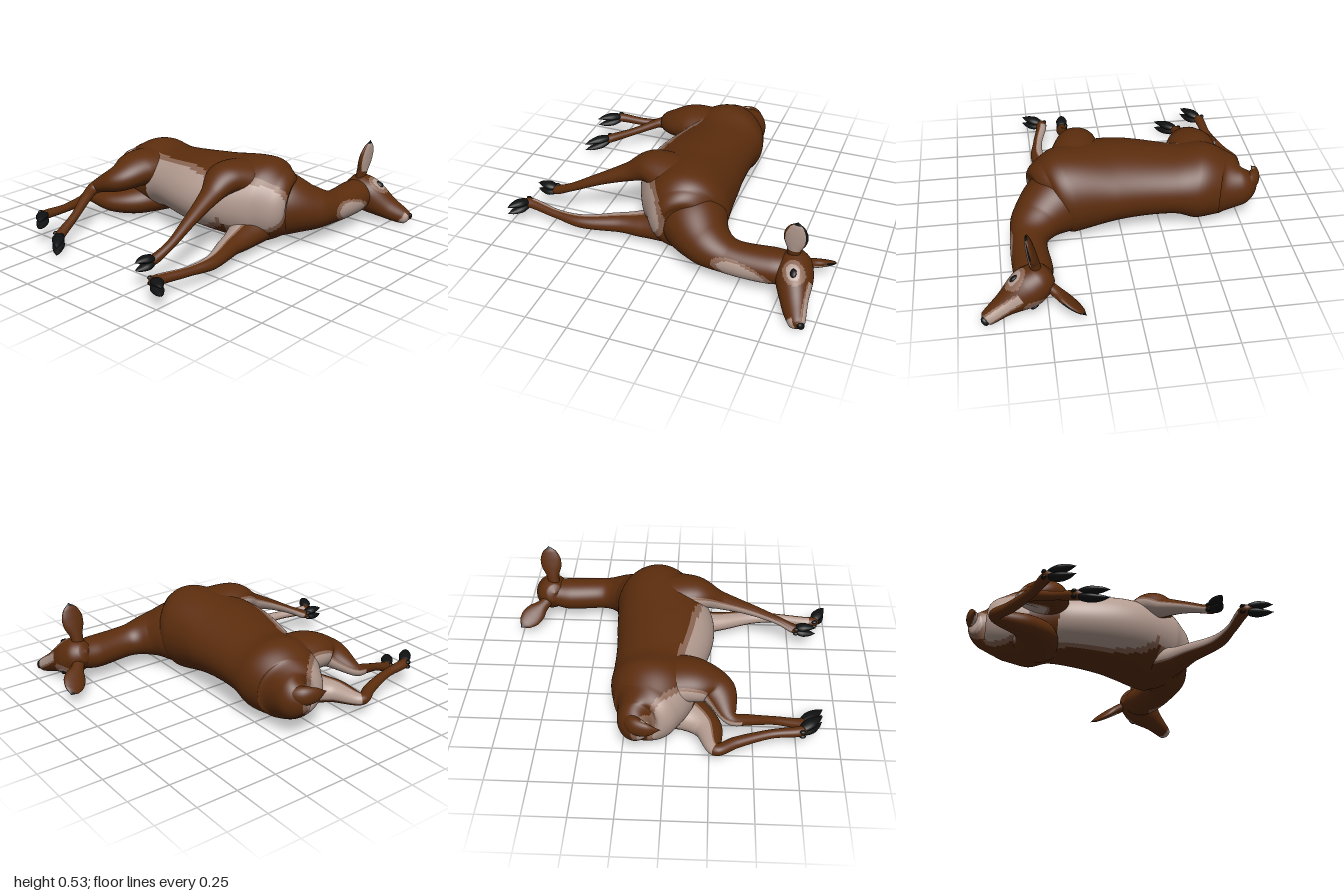
import * as THREE from 'three';

const V = (x, y, z) => new THREE.Vector3(x, y, z);
const mat = (name, color) => Object.assign(new THREE.MeshStandardMaterial({ color }), { name });

export function createModel() {
  const model = new THREE.Group();
  model.name = 'lyingDeer';

  const BROWN = 0, TAN = 1, PALE = 2, BLACK = 3;
  const mats = [
    mat('brown coat', 0x5c2d0d), mat('tan fringe', 0x8a6552),
    mat('pale fur', 0xb39b90), mat('black hoof', 0x0f1011),
  ];
  // pale patch with a tan fringe: d below 1 is inside
  const patch = (d, edge = 0.8) => (d < edge ? PALE : d < 1 ? TAN : BROWN);
  const oval = (u, v, ru, rv) => Math.hypot(u / ru, v / rv);

  // Smooth skin through rows of [x, y, z, radius along ref, radius across].
  // paint(point, t, c, s) picks a colour for each face; c is 1 on the ref side.
  function loft(name, rows, paint, { ref = V(0, 1, 0), segs = 56, sides = 36, parent = model } = {}) {
    const path = new THREE.CatmullRomCurve3(rows.map(r => V(r[0], r[1], r[2])));
    const size = new THREE.CatmullRomCurve3(rows.map(r => V(r[3], r[4], 0)), false, 'catmullrom', 0.4);
    const pos = [], faces = mats.map(() => []);
    for (let i = 0; i <= segs; i++) {
      const t = i / segs, p = path.getPoint(t), T = path.getTangent(t), r = size.getPoint(t);
      const B = ref.clone().addScaledVector(T, -ref.dot(T)).normalize();
      const N = T.clone().cross(B);
      for (let j = 0; j < sides; j++) {
        const a = (j / sides) * Math.PI * 2;
        const q = p.clone().addScaledVector(B, Math.cos(a) * Math.max(r.x, 0.001))
          .addScaledVector(N, Math.sin(a) * Math.max(r.y, 0.001));
        pos.push(q.x, q.y, q.z);
      }
    }
    const at = k => V(pos[k * 3], pos[k * 3 + 1], pos[k * 3 + 2]);
    for (let i = 0; i < segs; i++) {
      for (let j = 0; j < sides; j++) {
        const k = (j + 1) % sides, ang = ((j + 0.5) / sides) * Math.PI * 2;
        const a = i * sides + j, b = i * sides + k, c = b + sides, d = a + sides;
        const mid = at(a).add(at(c)).multiplyScalar(0.5);
        faces[paint(mid, (i + 0.5) / segs, Math.cos(ang), Math.sin(ang))].push(a, b, d, b, c, d);
      }
    }
    const g = new THREE.BufferGeometry();
    g.setAttribute('position', new THREE.Float32BufferAttribute(pos, 3));
    g.setIndex(faces.flat());
    g.computeVertexNormals();
    let start = 0;
    faces.forEach((f, m) => { if (f.length) g.addGroup(start, f.length, m); start += f.length; });
    const mesh = new THREE.Mesh(g, mats);
    mesh.name = name;
    parent.add(mesh);
  }

  // Small black ellipsoid for eyes, nose and dewclaws
  const ball = (name, parent, center, radii) => {
    const m = new THREE.Mesh(new THREE.SphereGeometry(1, 18, 12), mats[BLACK]);
    m.name = name;
    m.position.set(...center);
    m.scale.set(...radii);
    parent.add(m);
  };

  // Trunk, rump to chest, with pale belly, chest and rump
  loft('body', [
    [0.13, 0.27, -0.84, 0, 0], [0.14, 0.265, -0.82, 0.07, 0.055], [0.16, 0.255, -0.75, 0.13, 0.11],
    [0.115, 0.25, -0.65, 0.19, 0.197], [0.08, 0.265, -0.5, 0.23, 0.25], [0.065, 0.28, -0.33, 0.195, 0.255],
    [0.034, 0.29, 0.05, 0.23, 0.3], [0.1, 0.28, 0.34, 0.265, 0.26], [0.12, 0.265, 0.43, 0.23, 0.21],
    [0.15, 0.25, 0.5, 0.16, 0.14], [0.16, 0.25, 0.54, 0, 0],
  ], p => {
    if (p.z > 0.25) return patch(oval(p.x + 0.12, p.y - 0.3, 0.165, 0.175));
    if (p.z < -0.58) {
      const edge = -0.06 + (-0.62 - p.z) * 1.1;
      return patch(Math.max(1 + (p.x - edge) * 4, Math.abs(p.y - 0.26) / 0.17), 0.86);
    }
    if (p.z < -0.4) return BROWN;
    return patch(1 + (p.x + 0.137 + p.z * 0.22) * 3, 0.9);
  }, { segs: 150, sides: 100 });

  // Short curled tail
  loft('tail', [
    [0.21, 0.29, -0.72, 0.04, 0.05], [0.17, 0.29, -0.81, 0.058, 0.045],
    [0.1, 0.29, -0.848, 0.045, 0.026], [0.02, 0.29, -0.848, 0, 0],
  ], p => (p.x < 0.13 && p.z > -0.842 ? PALE : BROWN), { segs: 30, sides: 24 });

  // Neck with pale throat
  loft('neck', [
    [0.1, 0.265, 0.27, 0.23, 0.22], [0.19, 0.245, 0.42, 0.195, 0.195], [0.31, 0.213, 0.53, 0.135, 0.148],
    [0.45, 0.19, 0.575, 0.098, 0.108], [0.7, 0.185, 0.567, 0.098, 0.112], [0.82, 0.2, 0.555, 0.08, 0.09],
  ], p => (p.z > 0.57 ? patch(oval(p.x - 0.545, p.y - 0.165 + (p.x - 0.54) * 0.2, 0.18, 0.07)) : BROWN),
  { segs: 100, sides: 72 });

  // Leg through joints [x, y, z, radius], thick parts flattened sideways, with a
  // cloven hoof running from the last joint to tip. The inner rear is pale up to reach.
  function leg(name, inner, reach, joints, tip) {
    const ankle = joints.at(-1);
    const between = t => [0, 1, 2].map(i => ankle[i] + (tip[i] - ankle[i]) * t);
    const rows = joints.map(([x, y, z, r]) => [x, y, z, r, r * (1 + 4 * r)]);
    rows.push([...between(0.25), 0.012, 0.015]);
    loft(`${name}Leg`, rows,
      (p, t, c, s) => (t > reach ? BROWN : patch(1.45 - 0.55 * c * inner - 0.83 * s, 0.85)),
      { segs: 80, sides: 40 });
    for (const side of [-1, 1]) {
      const toe = (t, off, r) => {
        const [x, y, z] = between(t);
        return [x, y + side * off, z, r * 0.6, r];
      };
      loft(`${name}Hoof`, [toe(0, 0.012, 0), toe(0.08, 0.014, 0.028), toe(0.4, 0.021, 0.037),
        toe(0.75, 0.024, 0.022), toe(1, 0.022, 0)], () => BLACK, { segs: 16, sides: 14 });
      ball(`${name}Dewclaw`, model, [ankle[0] - 0.005, ankle[1] + side * 0.016, ankle[2] - 0.028],
        [0.018, 0.011, 0.013]);
    }
  }
  leg('rightFront', -1, 0.8, [
    [0.05, 0.41, 0.26, 0.125], [-0.15, 0.45, 0.235, 0.092], [-0.3, 0.388, 0.25, 0.054],
    [-0.5, 0.3, 0.275, 0.034], [-0.68, 0.21, 0.288, 0.025], [-0.79, 0.158, 0.272, 0.028],
  ], [-0.92, 0.155, 0.262]);
  leg('leftFront', 1, 0.8, [
    [0.05, 0.15, 0.32, 0.115], [-0.17, 0.118, 0.37, 0.074], [-0.3, 0.112, 0.395, 0.056],
    [-0.53, 0.106, 0.458, 0.039], [-0.7, 0.11, 0.447, 0.027], [-0.92, 0.118, 0.41, 0.03],
  ], [-0.995, 0.12, 0.535]);
  leg('rightHind', -1, 0.5, [
    [0.05, 0.33, -0.47, 0.125], [-0.15, 0.355, -0.49, 0.108], [-0.285, 0.315, -0.525, 0.083],
    [-0.37, 0.235, -0.675, 0.038], [-0.47, 0.2, -0.645, 0.03], [-0.62, 0.14, -0.58, 0.024],
    [-0.79, 0.075, -0.525, 0.028],
  ], [-0.92, 0.05, -0.4]);
  leg('leftHind', 1, 0.43, [
    [0.05, 0.15, -0.48, 0.115], [-0.13, 0.13, -0.53, 0.09], [-0.235, 0.12, -0.63, 0.067],
    [-0.29, 0.125, -0.815, 0.035], [-0.4, 0.135, -0.765, 0.031], [-0.6, 0.152, -0.705, 0.025],
    [-0.77, 0.163, -0.685, 0.028],
  ], [-0.895, 0.16, -0.58]);

  // Head in its own frame: x to its left, y to its crown, z to its nose
  const head = new THREE.Group();
  head.name = 'head';
  const fwd = V(0.31, -0.45, 0.86).normalize();
  const left = V(0.894, 0.43, -0.129).cross(fwd).normalize();
  head.setRotationFromMatrix(new THREE.Matrix4().makeBasis(left, fwd.clone().cross(left), fwd));
  head.position.set(0.86, 0.183, 0.612);
  model.add(head);

  // Skull and muzzle with pale eye rings, bridge and chin
  const skullRow = (y, z, w, h) => [0, y, z, w, h];
  loft('skull', [
    skullRow(-0.02, -0.17, 0, 0), skullRow(-0.02, -0.15, 0.06, 0.055), skullRow(-0.02, -0.09, 0.1, 0.095),
    skullRow(-0.03, 0, 0.113, 0.105), skullRow(-0.038, 0.16, 0.063, 0.074),
    skullRow(-0.03, 0.27, 0.041, 0.045), skullRow(-0.026, 0.297, 0, 0),
  ], p => {
    const eye = oval(p.y - 0.002, p.z - 0.014, 0.057, 0.072);
    if (Math.abs(p.x) > 0.05 && eye < 1) return patch(eye, 0.65);
    if (p.z > 0.215 && p.y < -0.04) return patch(1.22 - (p.z - 0.215) * 8, 0.95);
    if (p.z > 0.05 && p.z < 0.28 && p.y > -0.02) return patch(Math.abs(p.x) / 0.033, 0.7);
    return BROWN;
  }, { ref: V(1, 0, 0), segs: 100, sides: 80, parent: head });
  ball('nose', head, [0, -0.01, 0.282], [0.028, 0.02, 0.019]);

  // Mirrored eyes and leaf-shaped ears, pale inside with a black crown-side rim and tip
  for (const side of [-1, 1]) {
    const label = side > 0 ? 'left' : 'right';
    ball(`${label}Eye`, head, [side * 0.1, 0.004, 0.018], [0.012, 0.02, 0.027]);
    const row = (d, thick, wide) =>
      [side * (0.085 + 0.82 * d), 0.01 + 0.46 * d, -0.115 - 0.25 * d, thick, wide];
    loft(`${label}Ear`, [
      row(-0.03, 0.03, 0.035), row(0.03, 0.03, 0.042), row(0.09, 0.027, 0.064),
      row(0.145, 0.022, 0.067), row(0.2, 0.014, 0.046), row(0.242, 0, 0),
    ], (p, t, c, s) => {
      if (t > 0.9) return BLACK;
      if (c > 0.55 && t > 0.2) return PALE;
      return c > 0 && t > 0.45 && s * side < 0 ? BLACK : BROWN;
    }, { ref: V(side * 0.5, -0.13, 0.86), segs: 48, sides: 44, parent: head });
  }
  return model;
}
